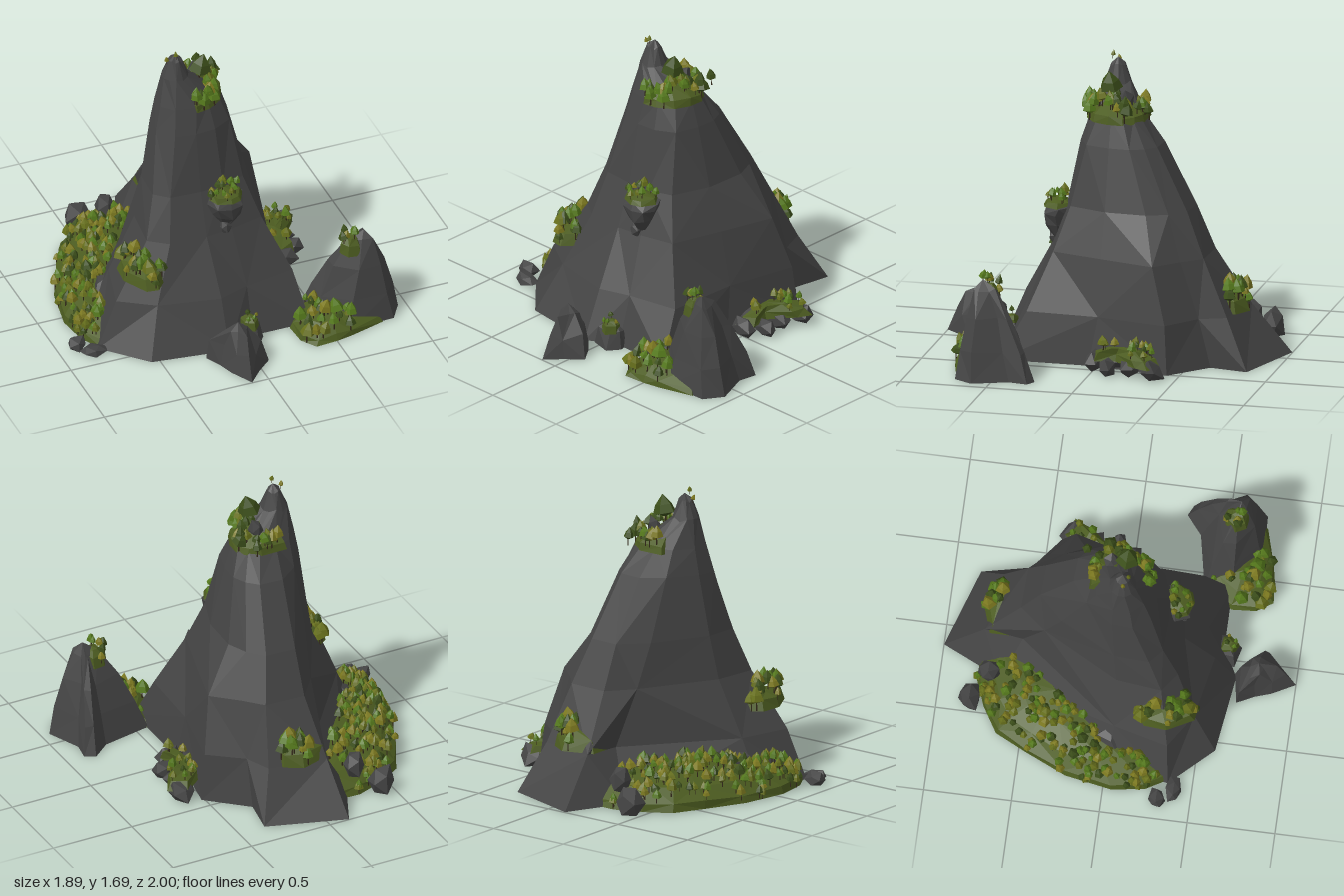
import * as THREE from 'three';
import { mergeGeometries } from 'three/addons/utils/BufferGeometryUtils.js';

const mat = (name, color) => {
  const m = new THREE.MeshStandardMaterial({ color, flatShading: true, side: THREE.DoubleSide });
  m.name = name;
  return m;
};

export function createModel() {
  const model = new THREE.Group();
  model.name = 'forestedMountain';
  const stone = mat('darkStone', 0x444444);
  const grass = mat('mossGreen', 0x4c5c20);
  const bark = mat('bark', 0x33291a);
  const leaves = [mat('oliveLeaf', 0x67701c), mat('deepGreenLeaf', 0x3c4f1a), mat('brightLeaf', 0x55791c), mat('yellowLeaf', 0x7d7a20)];

  let seed = 7;
  const rnd = () => (seed = (seed * 16807) % 2147483647) / 2147483647;
  const jit = (a) => (rnd() - 0.5) * 2 * a;

  const add = (name, geo, material) => {
    const mesh = new THREE.Mesh(geo, material);
    mesh.name = name;
    model.add(mesh);
    return mesh;
  };

  // Skin between rings of [x, y, z] points, closed by an apex; open underneath
  const loft = (rings, apex) => {
    const out = [];
    const n = rings[0].length;
    for (let k = 0; k < rings.length; k++) {
      for (let i = 0; i < n; i++) {
        const j = (i + 1) % n, a = rings[k], b = rings[k + 1];
        if (!b) out.push(...a[i], ...apex, ...a[j]);
        else if ((i + k) % 2) out.push(...a[i], ...b[i], ...b[j], ...a[i], ...b[j], ...a[j]);
        else out.push(...a[i], ...b[i], ...a[j], ...a[j], ...b[i], ...b[j]);
      }
    }
    const g = new THREE.BufferGeometry();
    g.setAttribute('position', new THREE.Float32BufferAttribute(out, 3));
    g.computeVertexNormals();
    return g;
  };

  // Hill rising from an [x, z] outline to a peak; steps are [height share, width share]
  const mound = (name, material, outline, y0, peak, steps, rough = 0.012) => {
    const rings = steps.map(([t, s]) => outline.map(([x, z]) => [
      peak[0] + (x - peak[0]) * s + (t ? jit(rough) : 0),
      y0 + (peak[1] - y0) * t + (t ? jit(rough) : 0),
      peak[2] + (z - peak[2]) * s + (t ? jit(rough) : 0)]));
    return add(name, loft(rings, peak), material);
  };

  // Rough boulder, cut flat at the ground
  const boulder = (name, x, y, z, sx, sy, sz) => {
    const g = new THREE.IcosahedronGeometry(1, 0), p = g.attributes.position, moved = {};
    for (let i = 0; i < p.count; i++) {
      const key = [p.getX(i), p.getY(i), p.getZ(i)].map((v) => Math.round(v * 50)).join();
      const k = (moved[key] ??= 1 + jit(0.25));
      p.setXYZ(i, x + p.getX(i) * sx * k, Math.max(0, y + p.getY(i) * sy * k), z + p.getZ(i) * sz * k);
    }
    g.computeVertexNormals();
    return add(name, g, stone);
  };

  // Main mountain: each level is [y, twelve x,z pairs from the back round by +x]
  const levels = [
    [0, -.12, -1, .34, -.85, .3, -.63, .52, -.43, .43, .05, .43, .57, .08, .57, -.1, .66, -.55, .6, -.78, .36, -.72, .02, -.28, -.66],
    [.28, -.1, -.77, .24, -.71, .3, -.56, .49, -.41, .4, 0, .38, .42, .08, .48, -.1, .54, -.46, .47, -.66, .34, -.58, .03, -.13, -.55],
    [.6, -.06, -.57, .18, -.56, .28, -.45, .42, -.32, .33, 0, .24, .3, .04, .35, -.12, .37, -.34, .36, -.45, .28, -.42, .02, -.18, -.42],
    [.85, -.06, -.46, .12, -.45, .2, -.36, .25, -.24, .24, 0, .16, .22, .02, .27, -.12, .28, -.3, .27, -.38, .2, -.37, 0, -.2, -.32],
    [1.2, -.08, -.27, .06, -.26, .12, -.2, .155, -.12, .15, 0, .11, .14, 0, .2, -.12, .21, -.24, .19, -.32, .1, -.31, -.02, -.2, -.18],
    [1.35, -.1, -.15, 0, -.15, .06, -.12, .1, -.07, .1, 0, .06, .09, -.02, .15, -.1, .17, -.22, .15, -.285, .08, -.28, -.02, -.2, -.12],
  ];
  const rings = levels.map(([y, ...v]) => Array.from({ length: 12 }, (_, i) => [v[2 * i], y, v[2 * i + 1]]));
  // Spire above the shoulder
  for (const [y, cx, r] of [[1.51, -.175, .078], [1.61, -.175, .04]]) {
    rings.push(rings[0].map((_, i) => {
      const a = (i - 0.5) * Math.PI / 6;
      return [cx + Math.sin(a) * r, y + jit(.012), .025 - Math.cos(a) * r];
    }));
  }
  const mountain = add('mountain', loft(rings, [-.17, 1.65, .025]), stone);

  // Neighbouring crag and foreground rock
  const crag = mound('sideCrag', stone, [[.42, .41], [.72, .35], [.83, .26], [.89, .29], [.87, .4], [.95, .6], [.88, .71], [.62, .72], [.43, .57]],
    0, [.75, .56, .58], [[0, 1], [.3, .83], [.62, .55], [.9, .24]]);
  mound('foregroundRock', stone, [[-.25, .68], [-.08, .65], [0, .73], [.07, .83], [-.02, .91], [-.1, 1], [-.17, .87], [-.2, .78]],
    0, [-.1, .28, .79], [[0, 1], [.45, .8], [.8, .4]], .018);
  mound('foregroundKnob', stone, [[-.02, .54], [.12, .55], [.13, .6], [.08, .67], [-.04, .64]], 0, [.05, .16, .58], [[0, 1], [.6, .7]]);

  // Overhanging outcrop on the front face
  const shelf = (y, r, cz) => Array.from({ length: 8 }, (_, i) => {
    const a = i * Math.PI / 4;
    return [.02 + Math.sin(a) * r + jit(.012), y + jit(.01), cz - Math.cos(a) * r + jit(.01)];
  });
  add('outcrop', loft([shelf(.62, .03, .31), shelf(.7, .08, .31), shelf(.77, .105, .31), shelf(.82, .095, .3)], [.02, .83, .3]), stone);
  boulder('outcropRock', 0, .63, .35, .035, .045, .035);

  // Boulders round the foot: [x, y, z, sx, sy, sz]
  [[-.89, .03, .31, .06, .045, .05], [-.82, .02, .4, .08, .04, .045], [-.43, .07, -.81, .085, .1, .07],
    [.61, .05, -.36, .09, .07, .08], [.55, .05, -.23, .1, .08, .06], [.59, .04, -.1, .07, .06, .05],
    [.5, .05, 0, .08, .07, .05], [.46, .06, -.12, .07, .06, .12], [-.61, .1, .02, .08, .13, .08],
    [.02, .33, -.67, .07, .08, .07], [-.3, .16, -.72, .06, .08, .06]].forEach((b) => boulder('boulder', ...b));
  boulder('summitRock', -.02, 1.43, -.06, .045, .08, .05);

  // Grassy ground
  const flat = [[0, 1], [.6, .85], [.9, .45]];
  const forest = mound('forestGround', grass,
    [[.14, -.74], [-.1, -.78], [-.3, -.79], [-.46, -.73], [-.61, -.64], [-.7, -.46], [-.81, -.22], [-.86, .05], [-.83, .24], [-.76, .36], [-.6, .1], [-.3, -.35]],
    0, [-.38, .2, -.33], [[0, 1], [.2, .97], [.6, .78], [.85, .45]], .01);
  const apron = mound('cragApron', grass,
    [[.42, .4], [.6, .5], [.8, .62], [.81, .72], [.6, .78], [.5, .8], [.37, .81], [.31, .72], [.3, .58]],
    0, [.5, .12, .62], [[0, 1], [.25, .93], [.7, .55]], .01);
  const summit = mound('summitGrass', grass,
    [[-.16, -.17], [0, -.17], [.07, -.13], [.112, -.07], [.108, .02], [.07, .11], [-.02, .17], [-.1, .185], [-.16, .05]],
    1.325, [-.11, 1.5, .01], [[0, 1], [.25, .96], [.6, .55]], .008);
  const ledge = mound('ledgeGrass', grass, [[-.48, .12], [-.41, .18], [-.4, .42], [-.46, .49], [-.53, .48], [-.61, .33], [-.6, .2]],
    .4, [-.48, .5, .28], flat, .006);
  const shelfTop = mound('outcropGrass', grass, [[-.04, .26], [.08, .25], [.12, .31], [.08, .39], [.02, .41], [-.06, .38], [-.085, .32]],
    .81, [.02, .86, .3], flat, .005);
  const backLedge = mound('backLedgeGrass', grass, [[-.12, -.74], [.06, -.8], [.16, -.74], [.17, -.64], [.02, -.55], [-.12, -.6]],
    .28, [.04, .4, -.65], flat, .01);
  const cragTop = mound('cragGrass', grass, [[.65, .5], [.72, .49], [.75, .56], [.71, .63], [.64, .62], [.61, .56]],
    .42, [.7, .53, .57], flat, .005);
  const eastPatch = mound('eastGrass', grass, [[.45, -.3], [.6, -.41], [.7, -.36], [.66, -.28], [.55, -.14], [.57, -.02], [.47, .03]],
    .07, [.52, .15, -.18], flat, .01);
  const knobTop = mound('knobGrass', grass, [[0, .55], [.09, .56], [.1, .61], [.06, .66], [0, .63]], .09, [.05, .165, .59], flat, .003);

  // Tapered five-sided crowns on thin trunks, merged by colour
  const solids = model.children.slice();
  model.updateMatrixWorld(true);
  const ray = new THREE.Raycaster();
  const plant = (parts, x, y, z, h) => {
    const r = h * (.27 + rnd() * .12), top = h * .72;
    const crown = new THREE.LatheGeometry([[0, 0], [r, top * .18], [r * .72, top * .55], [0, top]].map((p) => new THREE.Vector2(...p)), 5);
    crown.rotateY(rnd() * 6).rotateX(jit(.25)).rotateZ(jit(.25)).translate(x, y + h * .3, z);
    parts[Math.floor(rnd() * 4)].push(crown);
    parts[4].push(new THREE.CylinderGeometry(h * .025, h * .045, h * .5, 4).translate(x, y + h * .2, z));
  };
  const finish = (name, parts) => parts.forEach((p, i) => {
    if (p.length) add(name + (i < 4 ? 'Crowns' : 'Trunks'), mergeGeometries(p), i < 4 ? leaves[i] : bark);
  });
  const grove = (name, ground, count, hMin, hMax) => {
    const parts = [[], [], [], [], []];
    const box = new THREE.Box3().setFromObject(ground);
    for (let tries = 0, made = 0; made < count && tries < count * 12; tries++) {
      const x = box.min.x + rnd() * (box.max.x - box.min.x), z = box.min.z + rnd() * (box.max.z - box.min.z);
      ray.set(new THREE.Vector3(x, 3, z), new THREE.Vector3(0, -1, 0));
      const hit = ray.intersectObjects(solids, false)[0];
      if (!hit || hit.object !== ground) continue;
      plant(parts, x, hit.point.y, z, hMin + rnd() * (hMax - hMin));
      made++;
    }
    finish(name, parts);
  };
  grove('forest', forest, 170, .06, .1);
  grove('apron', apron, 24, .06, .13);
  grove('summit', summit, 32, .07, .13);
  grove('ledge', ledge, 22, .07, .13);
  grove('outcrop', shelfTop, 14, .05, .09);
  grove('backLedge', backLedge, 16, .07, .13);
  grove('crag', cragTop, 6, .06, .1);
  grove('east', eastPatch, 15, .05, .09);
  grove('knob', knobTop, 4, .04, .06);

  // A few lone trees on the spire and a tall one on the shoulder
  const lone = [[], [], [], [], []];
  [[-.225, 1.6, .03, .05], [-.18, 1.635, .06, .05], [-.03, 1.43, .03, .18], [.05, 1.36, -.21, .1]].forEach((t) => plant(lone, ...t));
  finish('loneTree', lone);
  return model;
}
